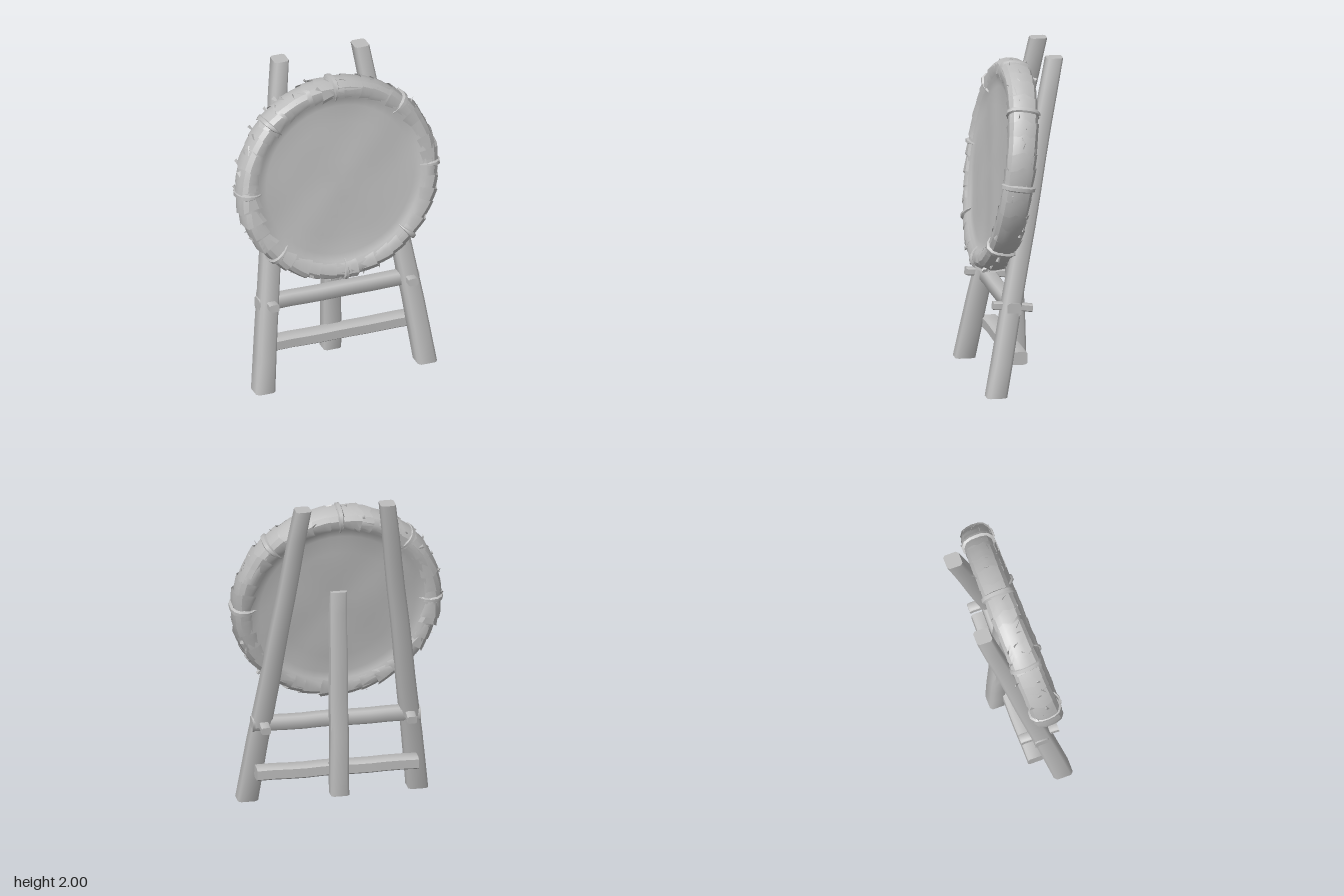
import * as THREE from 'three';
import { toCreasedNormals } from 'three/addons/utils/BufferGeometryUtils.js';

const grey = new THREE.MeshStandardMaterial({ color: 0xbdbdbd, side: THREE.DoubleSide });
grey.name = 'weathered grey';

let seed = 7;
const rand = () => (seed = (seed * 16807) % 2147483647) / 2147483647;

// Move every vertex of a geometry by a rule.
function warp(geo, rule) {
  const p = geo.attributes.position, v = new THREE.Vector3();
  for (let i = 0; i < p.count; i++) {
    v.fromBufferAttribute(p, i);
    rule(v);
    p.setXYZ(i, v.x, v.y, v.z);
  }
  return geo;
}

function add(parent, name, geo, crease = 0.85) {
  const mesh = new THREE.Mesh(toCreasedNormals(geo, crease), grey);
  mesh.name = name;
  parent.add(mesh);
  return mesh;
}

// Chamfered, slightly uneven timber from a to b (upright, level ends); sizes are [x, z].
function timber(a, b, sizeA, sizeB, wobble = 0.002) {
  const geo = new THREE.CylinderGeometry(1, 1, 1, 8, 10, false, Math.PI / 8);
  const square = (c) => (Math.abs(c) < 0.1 ? 0 : Math.sign(c) * (Math.abs(c) > 0.6 ? 1 : 0.72));
  return warp(geo, (v) => {
    const t = v.y + 0.5;
    const w = THREE.MathUtils.lerp(sizeA[0], sizeB[0], t) / 2;
    const d = THREE.MathUtils.lerp(sizeA[1], sizeB[1], t) / 2;
    const x = square(v.x) * w + Math.sin(t * 17 + a[0] * 9) * wobble;
    const z = square(v.z) * d + Math.cos(t * 13 + a[0] * 5) * wobble;
    v.set(
      THREE.MathUtils.lerp(a[0], b[0], t) + x,
      THREE.MathUtils.lerp(a[1], b[1], t),
      THREE.MathUtils.lerp(a[2], b[2], t) + z
    );
  });
}

// Mirror half of a rim profile (rear half, inside to outside) to the front.
function profile(half) {
  const front = half.slice(0, -1).reverse().map(([r, h]) => [r, -h]);
  return [...half, ...front].map(([r, h]) => new THREE.Vector2(r, h));
}

function createStand() {
  const stand = new THREE.Group();
  stand.name = 'stand';

  for (const s of [1, -1]) {
    const side = s > 0 ? 'left' : 'right';
    add(stand, side + 'FrontLeg',
      timber([s * 0.518, 0, 0.195], [s * 0.256, 2, -0.205], [0.122, 0.12], [0.092, 0.098]));
    // Peg pinning the upper rung
    const peg = add(stand, side + 'Peg',
      timber([0, -0.12, 0], [0, 0.12, 0], [0.055, 0.045], [0.06, 0.045], 0.001));
    peg.position.set(s * 0.443, 0.53, 0.08);
    peg.rotation.x = Math.PI / 2 - 0.1;
  }
  add(stand, 'rearLeg',
    timber([0, 0.08, -0.033], [0, 1.37, 0.013], [0.11, 0.1], [0.1, 0.082]));

  const upper = add(stand, 'upperRung',
    timber([0, -0.51, 0], [0, 0.51, 0], [0.08, 0.085], [0.082, 0.085]));
  upper.position.set(0, 0.523, 0.078);
  upper.rotation.z = Math.PI / 2;
  const lower = add(stand, 'lowerRung',
    timber([0, -0.49, 0], [0, 0.49, 0], [0.078, 0.1], [0.075, 0.1]));
  lower.position.set(0, 0.22, 0.045);
  lower.rotation.z = Math.PI / 2;
  return stand;
}

function createTarget() {
  const target = new THREE.Group();
  target.name = 'target';

  // Padded disc with a raised rim and gently uneven faces
  const body = profile([
    [0, -0.055], [0.12, -0.055], [0.24, -0.055], [0.36, -0.055], [0.47, -0.055], [0.515, -0.063],
    [0.54, -0.08], [0.585, -0.085], [0.615, -0.064], [0.627, -0.032], [0.63, 0],
  ]);
  const disc = warp(new THREE.LatheGeometry(body, 48), (v) => {
    v.y += 0.005 * Math.sin(v.x * 13 + 1) * Math.cos(v.z * 11);
  });
  add(target, 'disc', disc.rotateX(Math.PI / 2));

  // Ragged overlapping wrapping around the rim
  const wrap = profile([
    [0.53, -0.074], [0.555, -0.086], [0.59, -0.086], [0.618, -0.066], [0.63, -0.032], [0.632, 0],
  ]);
  const count = 40;
  for (let i = 0; i < count; i++) {
    const start = (i / count) * Math.PI * 2, length = 0.14 + rand() * 0.07;
    const lift = 0.004 + rand() * 0.012, skew = (rand() - 0.5) * 0.7;
    const ragged = rand() * 6;
    const strip = warp(new THREE.LatheGeometry(wrap, 3, start, length), (v) => {
      const angle = Math.atan2(v.x, v.z), r = Math.hypot(v.x, v.z);
      const t = THREE.MathUtils.euclideanModulo(angle - start + 0.01, Math.PI * 2) / length;
      const grow = lift * t - 0.003;
      const newR = r + (r > 0.57 ? grow : -grow * 1.5);
      const newA = angle + skew * v.y + 0.02 * Math.sin(v.y * 60 + ragged);
      v.set(Math.sin(newA) * newR, v.y * (1 + grow * 5), Math.cos(newA) * newR);
    });
    add(target, 'rimWrap', strip.rotateX(Math.PI / 2), 0.5);
  }

  // Loose splinters standing off the rim
  for (let i = 0; i < 72; i++) {
    const angle = (i + rand()) / 72 * Math.PI * 2;
    const across = (rand() - 0.5) * 2.2;
    const splinter = add(target, 'splinter', new THREE.ConeGeometry(0.014, 0.05 + rand() * 0.03, 3));
    const r = 0.575 + 0.055 * Math.cos(across);
    splinter.scale.z = 0.3;
    splinter.position.set(Math.cos(angle) * r, Math.sin(angle) * r, Math.sin(across) * 0.09);
    splinter.rotation.set(rand() - 0.5, rand() * 3, angle + (rand() - 0.5) * 0.8);
  }

  // Eight lashings, pointed toward the centre of each face
  const band = profile([
    [0.49, -0.053], [0.525, -0.084], [0.56, -0.1], [0.6, -0.1], [0.63, -0.075], [0.643, -0.038], [0.645, 0],
  ]);
  for (let i = 0; i < 8; i++) {
    const mid = (i / 8) * Math.PI * 2;
    const lashing = warp(new THREE.LatheGeometry(band, 4, -0.035, 0.07), (v) => {
      const r = Math.hypot(v.x, v.z), a = Math.atan2(v.x, v.z);
      const edge = Math.abs(a) > 0.03 ? 1 : 0;
      const width = THREE.MathUtils.clamp((r - 0.475) / 0.12, 0.12, 1);
      const newR = r - edge * (r > 0.58 ? 0.016 : 0);
      const newA = mid + a * width;
      v.set(Math.sin(newA) * newR, v.y * (1 - edge * 0.2), Math.cos(newA) * newR);
    });
    add(target, 'lashing', lashing.rotateX(Math.PI / 2));
  }

  // Leaning back against the legs
  target.position.set(0, 1.288, 0.07);
  target.rotation.x = -0.15;
  return target;
}

export function createModel() {
  const model = new THREE.Group();
  model.name = 'targetOnStand';
  model.add(createStand(), createTarget());
  return model;
}
